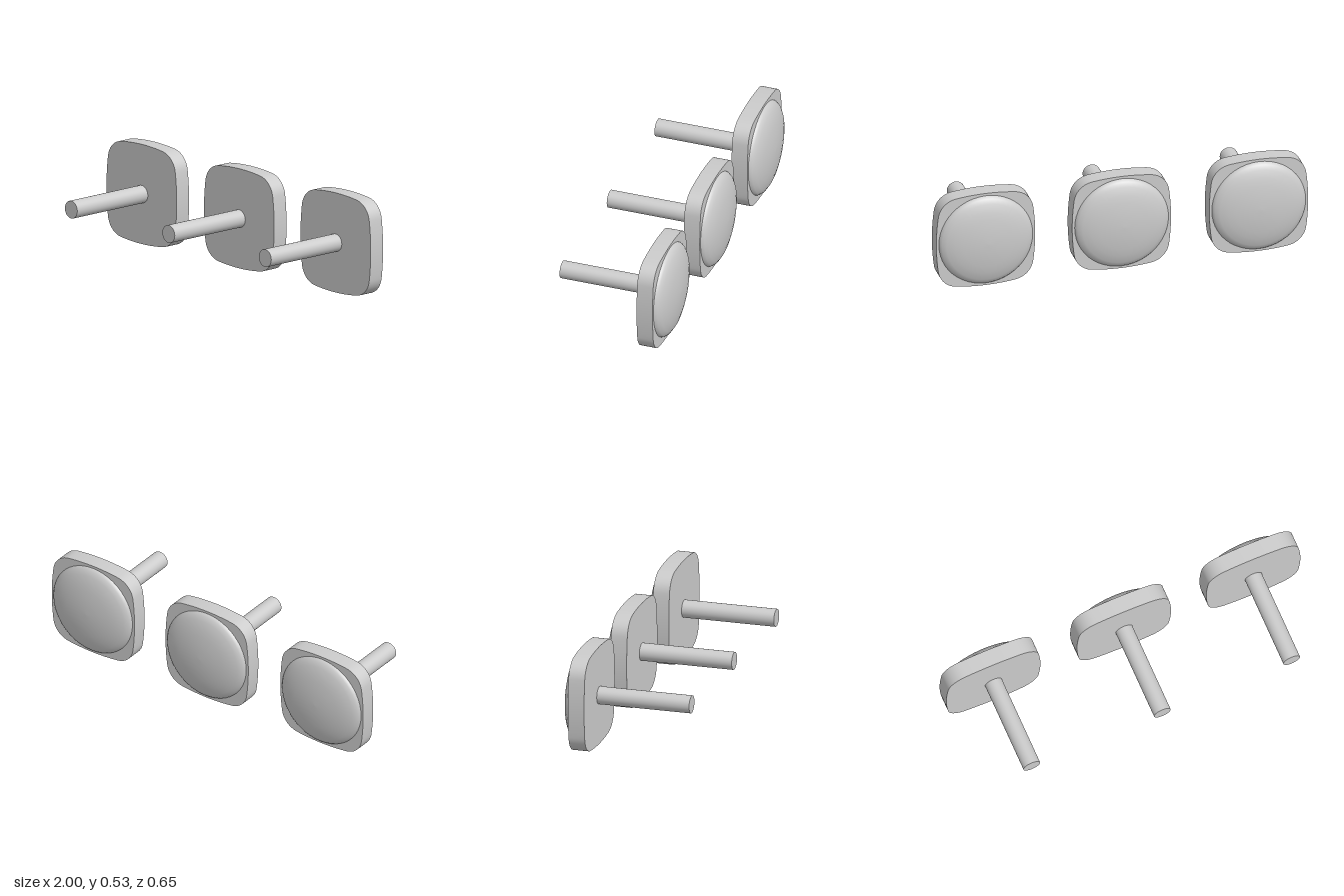
import * as THREE from 'three';
import { toCreasedNormals } from 'three/addons/utils/BufferGeometryUtils.js';

const material = new THREE.MeshStandardMaterial({ color: 0xcccccc });
const CENTER_Y = 0.267;

// Rounded square with gently bulging sides
function plateShape() {
  const half = 0.266, a = 0.16, b = 0.255, c = 0.21, d = 0.247;
  const shape = new THREE.Shape();
  shape.moveTo(b, -a);
  for (let i = 0; i < 4; i++) {
    const t = i * Math.PI / 2, cs = Math.round(Math.cos(t)), sn = Math.round(Math.sin(t));
    const p = (x, y) => [x * cs - y * sn, x * sn + y * cs];
    shape.quadraticCurveTo(...p(2 * half - b, 0), ...p(b, a));
    shape.bezierCurveTo(...p(d, c), ...p(c, d), ...p(a, b));
  }
  return shape;
}

function named(geometry, name) {
  const mesh = new THREE.Mesh(geometry, material);
  mesh.name = name;
  return mesh;
}

export function createModel() {
  const model = new THREE.Group();
  model.name = 'knobSet';

  // Backing plate
  const plate = toCreasedNormals(new THREE.ExtrudeGeometry(plateShape(), {
    depth: 0.088, bevelEnabled: false, curveSegments: 12,
  }), 0.6);
  plate.translate(0, 0, -0.263);

  // Shallow dome on the rear of the plate
  const profile = [
    [0.253, 0.262], [0.25, 0.27], [0.241, 0.281], [0.218, 0.295], [0.175, 0.308],
    [0.135, 0.316], [0.09, 0.322], [0.045, 0.326], [0, 0.327],
  ].map(([r, y]) => new THREE.Vector2(r, y));
  const dome = new THREE.LatheGeometry(profile, 48);
  dome.rotateX(-Math.PI / 2);

  // Round shaft pointing forward
  const shaft = new THREE.CylinderGeometry(0.047, 0.047, 0.507, 32);
  shaft.rotateX(Math.PI / 2);
  shaft.translate(0, 0, 0.0735);

  // Three identical knobs in a row
  [-0.735, 0.003, 0.734].forEach((x, i) => {
    const knob = new THREE.Group();
    knob.name = ['rightKnob', 'middleKnob', 'leftKnob'][i];
    knob.add(named(plate, 'plate'), named(dome, 'dome'), named(shaft, 'shaft'));
    knob.position.set(x, CENTER_Y, 0);
    model.add(knob);
  });
  return model;
}
